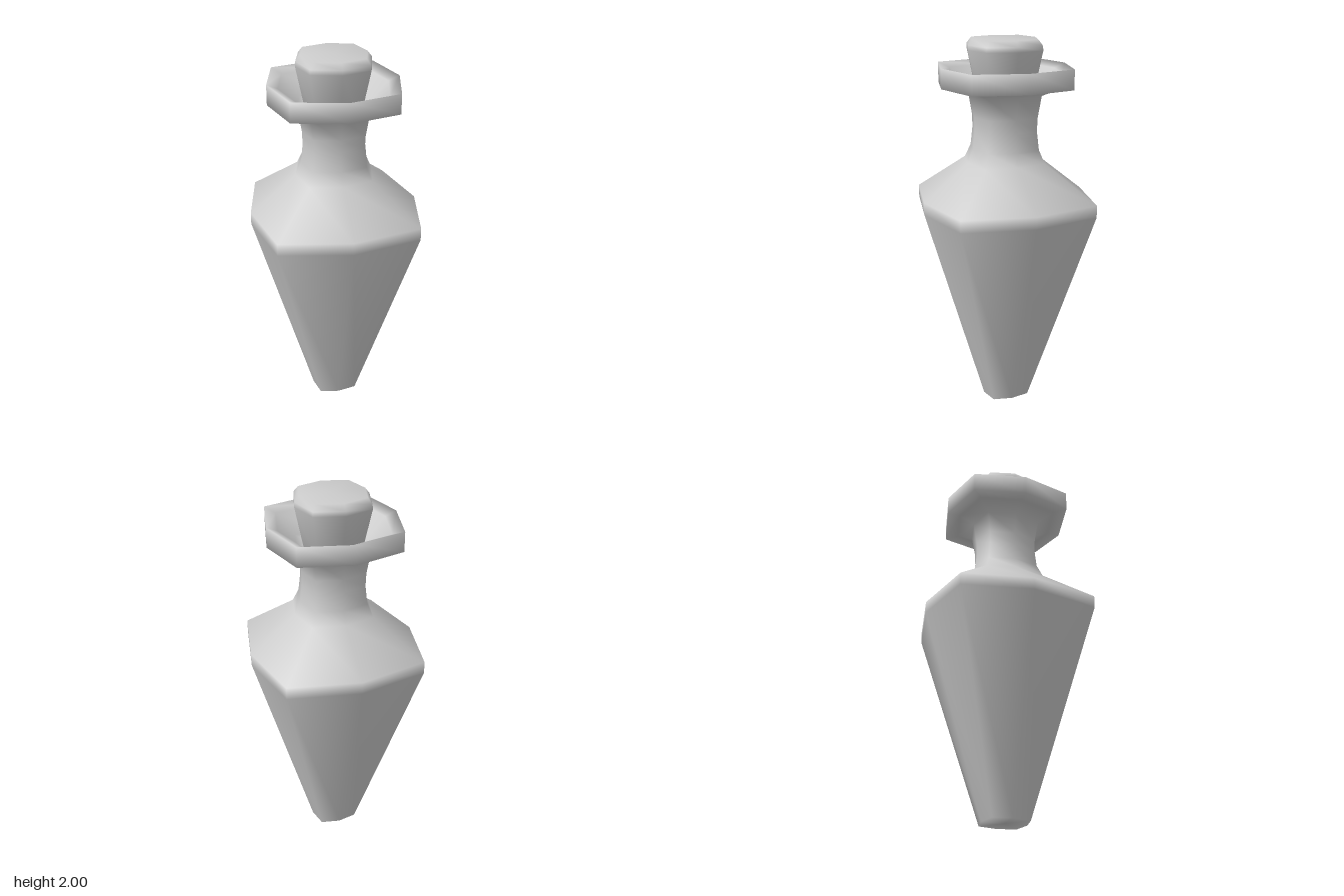
import * as THREE from 'three';
import { mergeVertices } from 'three/addons/utils/BufferGeometryUtils.js';

const SIDES = 8;

// Eight-sided lathe whose diagonal corners are pushed out by a factor per ring.
// Profile entries are [radius on the axes, height, diagonal factor].
function squaredLathe(name, profile, material) {
  const lathe = new THREE.LatheGeometry(profile.map(([r, y]) => new THREE.Vector2(r, y)), SIDES);
  const pos = lathe.attributes.position;
  for (let i = 0; i < pos.count; i++) {
    const segment = Math.floor(i / profile.length);
    if (segment % 2 === 0) continue;
    const k = profile[i % profile.length][2];
    pos.setX(i, pos.getX(i) * k);
    pos.setZ(i, pos.getZ(i) * k);
  }
  // Weld the seam and poles so the shading is smooth all over
  lathe.deleteAttribute('uv');
  lathe.deleteAttribute('normal');
  const geometry = mergeVertices(lathe, 1e-4);
  geometry.computeVertexNormals();
  const mesh = new THREE.Mesh(geometry, material);
  mesh.name = name;
  return mesh;
}

export function createModel() {
  const group = new THREE.Group();
  group.name = 'bottle';
  const material = new THREE.MeshStandardMaterial({ color: 0xcccccc });

  // Tapered body, shoulder, neck and flared lip with a shallow bowl inside
  group.add(squaredLathe('flask', [
    [0, 0, 1],
    [0.123, 0, 1.17],
    [0.45, 1.1, 1.17],
    [0.45, 1.165, 1.17],
    [0.205, 1.36, 1.14],
    [0.176, 1.43, 1.13],
    [0.165, 1.53, 1.13],
    [0.168, 1.6, 1.13],
    [0.187, 1.715, 1.13],
    [0.27, 1.755, 1.13],
    [0.343, 1.755, 1.13],
    [0.343, 1.86, 1.13],
    [0.285, 1.835, 1.13],
    [0.19, 1.735, 1.12],
    [0.14, 1.72, 1.1],
    [0, 1.72, 1],
  ], material));

  // Tapered stopper with a bevelled top
  group.add(squaredLathe('stopper', [
    [0, 1.68, 1],
    [0.142, 1.68, 1.1],
    [0.197, 1.945, 1.1],
    [0.195, 1.97, 1.1],
    [0.172, 2, 1.1],
    [0, 2, 1],
  ], material));

  return group;
}
